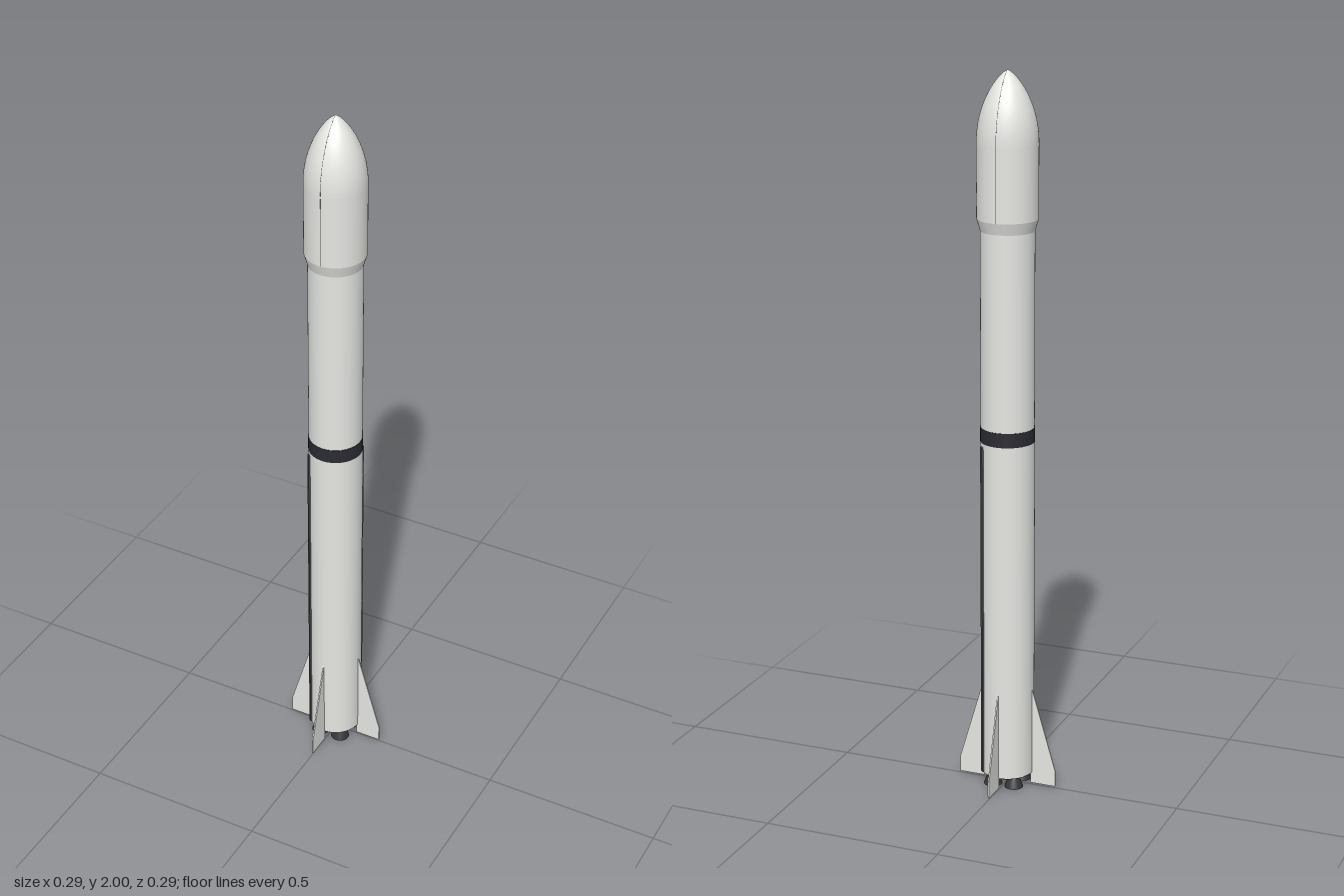
import * as THREE from 'three';

const white = new THREE.MeshStandardMaterial({ name: 'white paint', color: 0xe6e6e3 });
const black = new THREE.MeshStandardMaterial({ name: 'black band', color: 0x2b2b33 });
const metal = new THREE.MeshStandardMaterial({ name: 'dark engine metal', color: 0x36363a, side: THREE.DoubleSide });
const grey = new THREE.MeshStandardMaterial({ name: 'raceway grey', color: 0x4c4d50 });

export function createModel() {
  const rocket = new THREE.Group();
  rocket.name = 'rocket';
  const add = (name, geometry, material) => {
    const mesh = new THREE.Mesh(geometry, material);
    mesh.name = name;
    rocket.add(mesh);
    return mesh;
  };
  const tube = (name, r, y0, y1, material) => {
    const mesh = add(name, new THREE.CylinderGeometry(r, r, y1 - y0, 64), material);
    mesh.position.y = (y0 + y1) / 2;
  };
  const lathe = (points) => new THREE.LatheGeometry(points, 64);
  const v = (x, y) => new THREE.Vector2(x, y);

  // Stages and the band between them
  tube('firstStage', 0.074, 0.037, 1.0, white);
  tube('interstageBand', 0.0742, 1.0, 1.04, black);
  tube('secondStage', 0.073, 1.04, 1.59, white);
  tube('engineBay', 0.071, 0.034, 0.04, metal);

  // Payload fairing: flared collar, straight barrel and pointed nose
  const R = 0.0825, shoulder = 1.81, tip = 2;
  add('fairingCollar', lathe([v(0.073, 1.578), v(R, 1.61)]), white);
  add('fairingBarrel', lathe([v(R, 1.61), v(R, shoulder)]), white);
  const nose = [];
  for (let i = 0; i <= 24; i++) {
    const u = Math.sin((i / 24) * Math.PI / 2);
    nose.push(v(R * Math.pow(Math.max(0, 1 - u * u), 0.75), shoulder + (tip - shoulder) * u));
  }
  add('fairingNose', lathe(nose), white);

  // Hairline seam where the two fairing halves meet
  const edge = [v(R, 1.61), ...nose.slice(0, 23)].map((p) => v(p.x + 0.0002, p.y));
  const outline = [...edge, ...edge.map((p) => v(-p.x, p.y)).reverse()];
  const seamGeo = new THREE.ExtrudeGeometry(new THREE.Shape(outline), { depth: 0.001, bevelEnabled: false });
  seamGeo.translate(0, 0, -0.0005).rotateY(Math.PI / 2);
  add('fairingSeam', seamGeo, grey);

  // Four swept fins
  const fin = new THREE.Shape([v(0.07, 0.005), v(0.143, 0.005), v(0.143, 0.052), v(0.07, 0.3)]);
  const finGeo = new THREE.ExtrudeGeometry(fin, { depth: 0.004, bevelEnabled: false });
  finGeo.translate(0, 0, -0.002);

  // Four engine bells set between the fins
  const bellGeo = new THREE.LatheGeometry(
    [v(0.026, 0), v(0.022, 0.012), v(0.016, 0.026), v(0.011, 0.038)], 32);

  for (let i = 0; i < 4; i++) {
    add('fin' + (i + 1), finGeo, white).rotation.y = i * Math.PI / 2;
    const a = Math.PI / 4 + i * Math.PI / 2;
    add('engineBell' + (i + 1), bellGeo, metal).position.set(0.044 * Math.cos(a), 0, 0.044 * Math.sin(a));
  }

  // Two cable raceways on opposite sides
  for (const s of [-1, 1]) {
    const raceway = add(s < 0 ? 'frontRaceway' : 'backRaceway', new THREE.BoxGeometry(0.011, 0.95, 0.008), grey);
    raceway.position.set(s * 0.0525, 0.515, -s * 0.0525);
    raceway.rotation.y = -Math.PI / 4;
  }
  return rocket;
}
